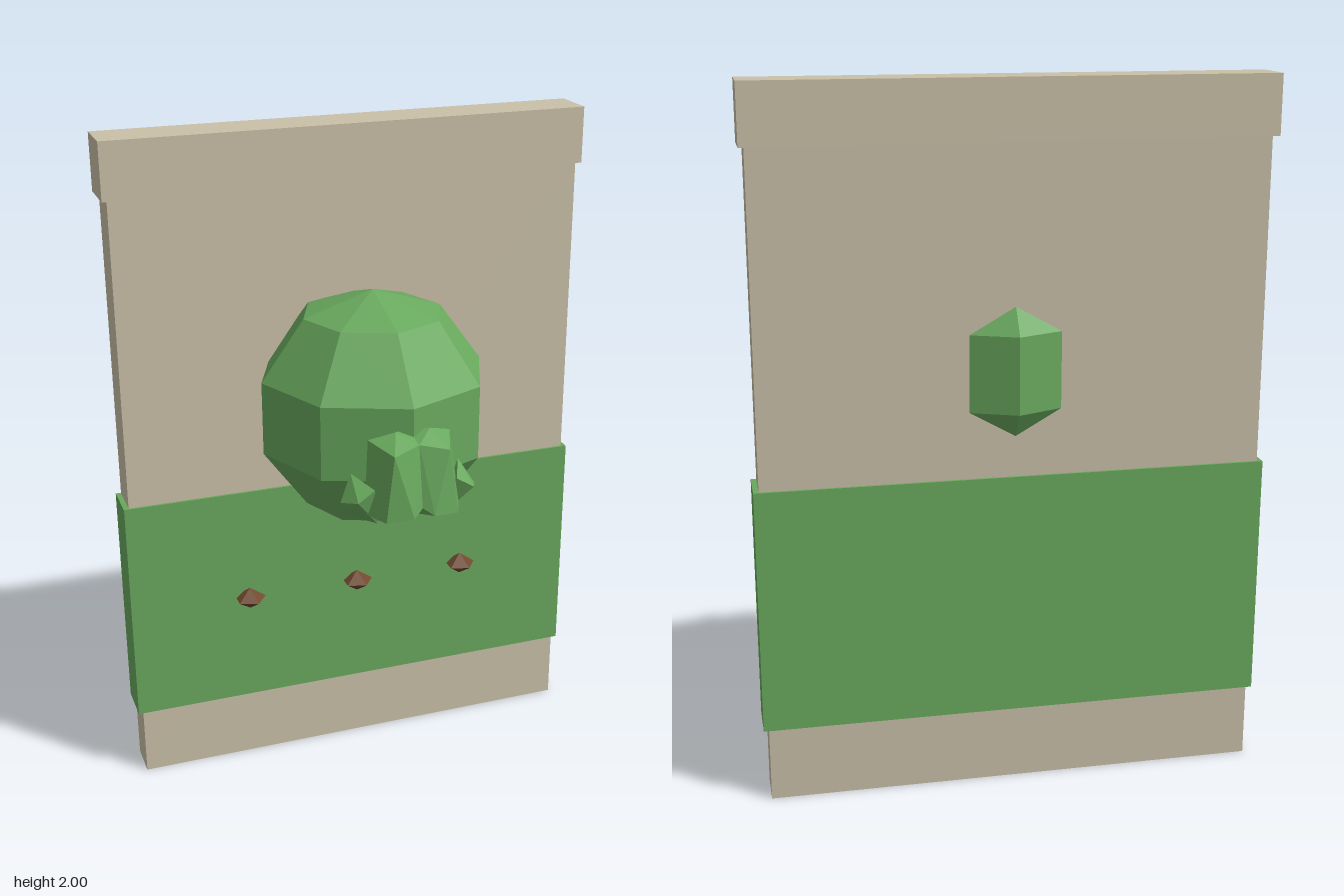
import * as THREE from 'three';
import { ConvexGeometry } from 'three/addons/geometries/ConvexGeometry.js';

export function createModel() {
  const group = new THREE.Group();
  const material = (name, color) => {
    const m = new THREE.MeshStandardMaterial({ color, flatShading: true });
    m.name = name;
    return m;
  };
  const green = material('leafGreen', 0x69a95e);
  const stone = material('paleStone', 0xcac0a8);
  const brown = material('darkBrown', 0x70492f);

  const add = (name, geometry, mat, x = 0, y = 0, z = 0) => {
    const mesh = new THREE.Mesh(geometry, mat);
    mesh.name = name;
    mesh.position.set(x, y, z);
    group.add(mesh);
    return mesh;
  };
  // Box given by half width, vertical range and depth range
  const slab = (name, mat, hw, y0, y1, z0, z1) =>
    add(name, new THREE.BoxGeometry(hw * 2, y1 - y0, z1 - z0), mat, 0, (y0 + y1) / 2, (z0 + z1) / 2);

  // Upright panel with its cap and green band
  slab('panel', stone, 0.703, 0, 1.84, -0.325, -0.213);
  slab('cap', stone, 0.718, 1.835, 2, -0.342, -0.203);
  slab('band', green, 0.718, 0.215, 0.918, -0.332, -0.206);

  // Faceted ball, set through the panel
  add('ball', new THREE.SphereGeometry(0.35, 8, 5), green, 0, 1.215, -0.045);

  // Folded snout: faceted lobes, each mirrored left and right
  const lobes = {
    upperLobe: [
      [0, 1.25, 0.24], [0.05, 1.26, 0.28], [0, 1.235, 0.33], [0.12, 1.235, 0.25],
      [0.08, 1.22, 0.355], [0.03, 1.04, 0.378], [0.105, 1.03, 0.36], [0.14, 1.03, 0.28],
      [0, 1.06, 0.36], [0, 1, 0.25], [0.05, 1, 0.25],
    ],
    sideLobe: [
      [0.2, 1.06, 0.25], [0.17, 1.08, 0.315], [0.12, 1.11, 0.31], [0.16, 1.13, 0.22],
      [0.19, 1.01, 0.21], [0.1, 0.99, 0.27], [0.12, 1, 0.19],
    ],
    chinLobe: [
      [0, 0.97, 0.21], [0.05, 0.955, 0.16], [0.1, 0.97, 0.17], [0.05, 1.03, 0.27],
      [0, 1.02, 0.28], [0, 1, 0.14],
    ],
  };
  for (const [name, points] of Object.entries(lobes)) {
    for (const side of [1, -1]) {
      const corners = points.map(([x, y, z]) => new THREE.Vector3(x * side, y, z));
      add(name + (side > 0 ? 'Left' : 'Right'), new ConvexGeometry(corners), green);
    }
  }

  // Row of five-sided studs on the band
  for (const x of [-0.35, 0, 0.35]) {
    const stud = add('stud', new THREE.SphereGeometry(0.05, 5, 2), brown, x, 0.565, -0.195);
    stud.scale.y = 0.7;
    stud.rotation.y = Math.PI;
  }

  return group;
}
